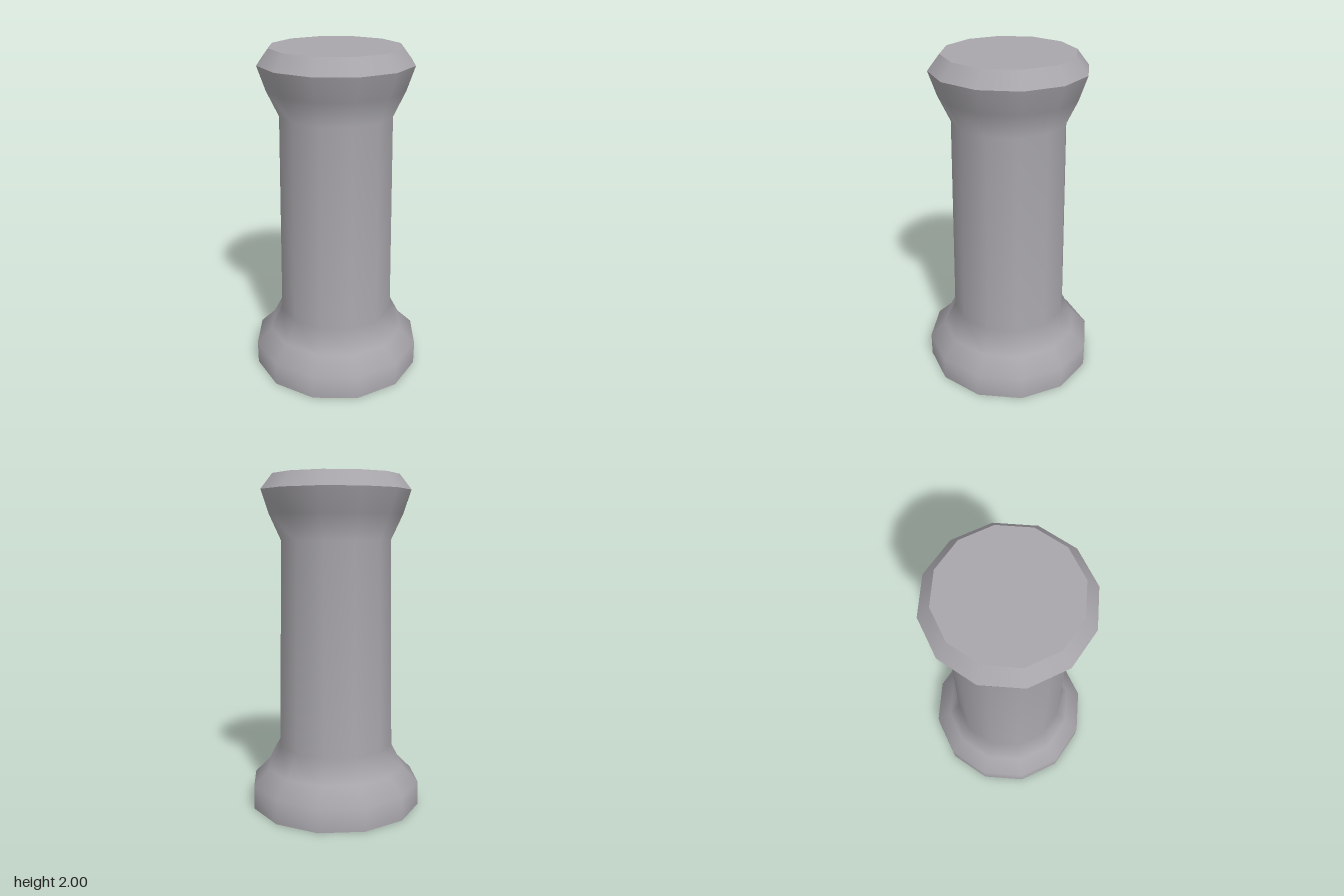
import * as THREE from 'three';

const SIDES = 12;

export function createModel() {
  const model = new THREE.Group();
  const stone = new THREE.MeshStandardMaterial({ color: 0xa8a6ab });
  stone.name = 'grey stone';

  const add = (name, geometry) => {
    const mesh = new THREE.Mesh(geometry, stone);
    mesh.name = name;
    model.add(mesh);
    return mesh;
  };

  // Profiles run from the bottom up as [radius, height]
  const turned = (name, profile) =>
    add(name, new THREE.LatheGeometry(profile.map(([r, y]) => new THREE.Vector2(r, y)), SIDES));

  // Flat end, facing up or down
  const cap = (name, radius, y, up) => {
    const mesh = add(name, new THREE.CircleGeometry(radius, SIDES));
    mesh.rotation.x = up ? -Math.PI / 2 : Math.PI / 2;
    mesh.position.y = y;
  };

  // Foot, tapering shaft and flared head shade smoothly as one surface
  turned('column', [
    [0.52, 0], [0.52, 0.145], [0.425, 0.24], [0.353, 0.38],
    [0.333, 1.62], [0.403, 1.77], [0.45, 1.91],
  ]);

  // Sharp-edged bevel around the top
  turned('topBevel', [[0.45, 1.91], [0.38, 2]]);

  cap('topFace', 0.38, 2, true);
  cap('bottomFace', 0.52, 0, false);

  return model;
}
